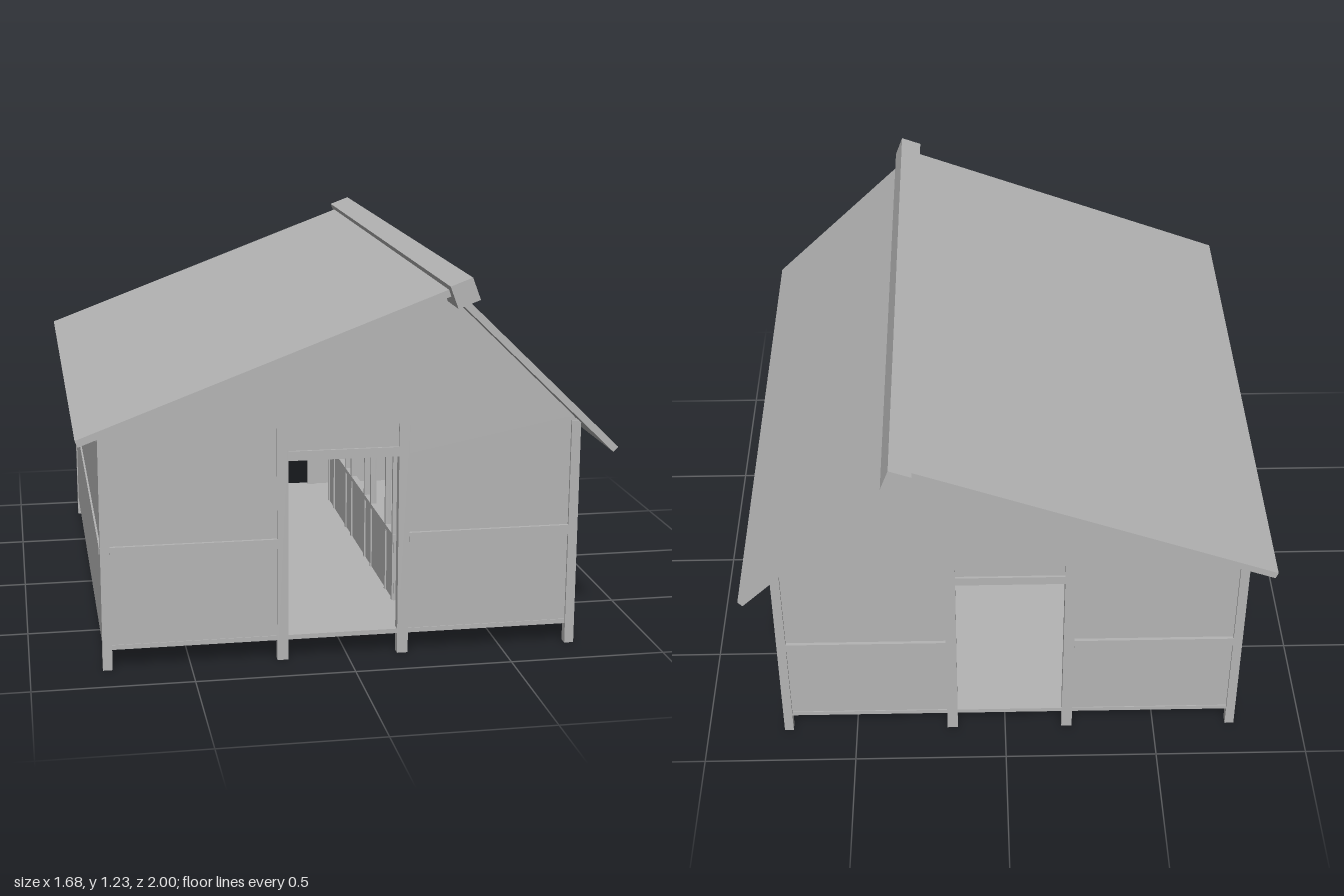
import * as THREE from 'three';

export function createModel() {
  const root = new THREE.Group();
  root.name = 'barn';
  const grey = new THREE.MeshStandardMaterial({ color: 0xb4b4b4 });
  grey.name = 'plainGrey';

  const add = (name, geometry) => {
    const mesh = new THREE.Mesh(geometry, grey);
    mesh.name = name;
    root.add(mesh);
    return mesh;
  };

  // Box given by its lower and upper limits on each axis
  const box = (name, x0, x1, y0, y1, z0, z1) => {
    const mesh = add(name, new THREE.BoxGeometry(x1 - x0, y1 - y0, z1 - z0));
    mesh.position.set((x0 + x1) / 2, (y0 + y1) / 2, (z0 + z1) / 2);
    return mesh;
  };

  // Outline in x and y, extruded between z0 and z1
  const prism = (name, points, z0, z1) => {
    const shape = new THREE.Shape(points.map(([x, y]) => new THREE.Vector2(x, y)));
    const geometry = new THREE.ExtrudeGeometry(shape, { depth: z1 - z0, bevelEnabled: false });
    geometry.translate(0, 0, z0);
    return add(name, geometry);
  };

  // The same part on the front (side = 1) or back (side = -1)
  const span = (side, near, far) => (side > 0 ? [near, far] : [-far, -near]);

  const floorY = 0.065;

  // Floor
  box('floor', -0.77, 0.74, floorY, 0.08, -0.86, 0.86);

  for (const side of [1, -1]) {
    const end = side > 0 ? 'front' : 'back';

    // End wall with an open doorway
    prism(end + 'Wall', [
      [-0.77, floorY], [-0.19, floorY], [-0.19, 0.65], [0.16, 0.65],
      [0.16, floorY], [0.74, floorY], [0.74, 0.735], [0.72, 0.757], [-0.77, 0.757],
    ], ...span(side, 0.842, 0.857));

    // Gable, flush with the posts
    prism(end + 'Gable', [
      [-0.773, 0.755], [0.723, 0.755], [0.299, 1.169], [-0.773, 0.769],
    ], ...span(side, 0.837, 0.865));

    // Corner posts and door posts
    for (const [name, x0, x1, top] of [
      ['CornerPostRight', -0.775, -0.745, 0.767], ['DoorPostRight', -0.225, -0.19, 0.756],
      ['DoorPostLeft', 0.16, 0.195, 0.756], ['CornerPostLeft', 0.715, 0.745, 0.742],
    ]) box(end + name, x0, x1, 0, top, ...span(side, 0.835, 0.865));

    // Middle rails and door lintel
    box(end + 'RailRight', -0.745, -0.225, 0.37, 0.4, ...span(side, 0.84, 0.868));
    box(end + 'RailLeft', 0.195, 0.715, 0.37, 0.4, ...span(side, 0.84, 0.868));
    box(end + 'Lintel', -0.19, 0.16, 0.65, 0.68, ...span(side, 0.837, 0.865));
  }

  // Long side walls with a middle rail and a rail under the eaves
  box('rightWall', -0.772, -0.757, floorY, 0.765, -0.84, 0.84);
  box('leftWall', 0.727, 0.742, floorY, 0.735, -0.84, 0.84);
  for (const [name, y0, y1] of [['MiddleRail', 0.37, 0.4], ['EaveRail', 0.73, 0.76]])
    box('right' + name, -0.778, -0.75, y0, y1, -0.835, 0.835);
  for (const [name, y0, y1] of [['MiddleRail', 0.37, 0.4], ['EaveRail', 0.707, 0.737]])
    box('left' + name, 0.72, 0.748, y0, y1, -0.835, 0.835);

  // Two roof slabs of different pitch
  prism('longRoof', [
    [-0.845, 0.765], [-0.837, 0.744], [0.299, 1.168], [0.326, 1.202],
  ], -0.955, 0.955);
  prism('steepRoof', [
    [0.299, 1.168], [0.823, 0.659], [0.838, 0.675], [0.326, 1.173],
  ], -0.955, 0.955);

  // Ridge beam, tilted with the long roof
  const ridge = box('ridgeBeam', 0.29, 0.363, 1.146, 1.219, -1, 1);
  ridge.rotation.z = THREE.MathUtils.degToRad(20.5);

  // Stall fronts along both sides of the aisle, with a pair of posts per stall
  for (const [name, x, shift] of [['right', -0.24, -0.024], ['left', 0.21, -0.003]]) {
    box(name + 'StallPanel', x - 0.005, x + 0.005, floorY, 0.3, shift - 0.6, shift + 0.6);
    box(name + 'StallRail', x - 0.01, x + 0.01, 0.295, 0.31, shift - 0.6, shift + 0.6);
    for (const centre of [-0.535, -0.179, 0.179, 0.535])
      for (const half of [-0.056, 0.056]) {
        const z = centre + half + shift;
        box(name + 'StallPost', x - 0.01, x + 0.01, 0.01, 0.65, z - 0.007, z + 0.007);
      }
  }

  return root;
}
